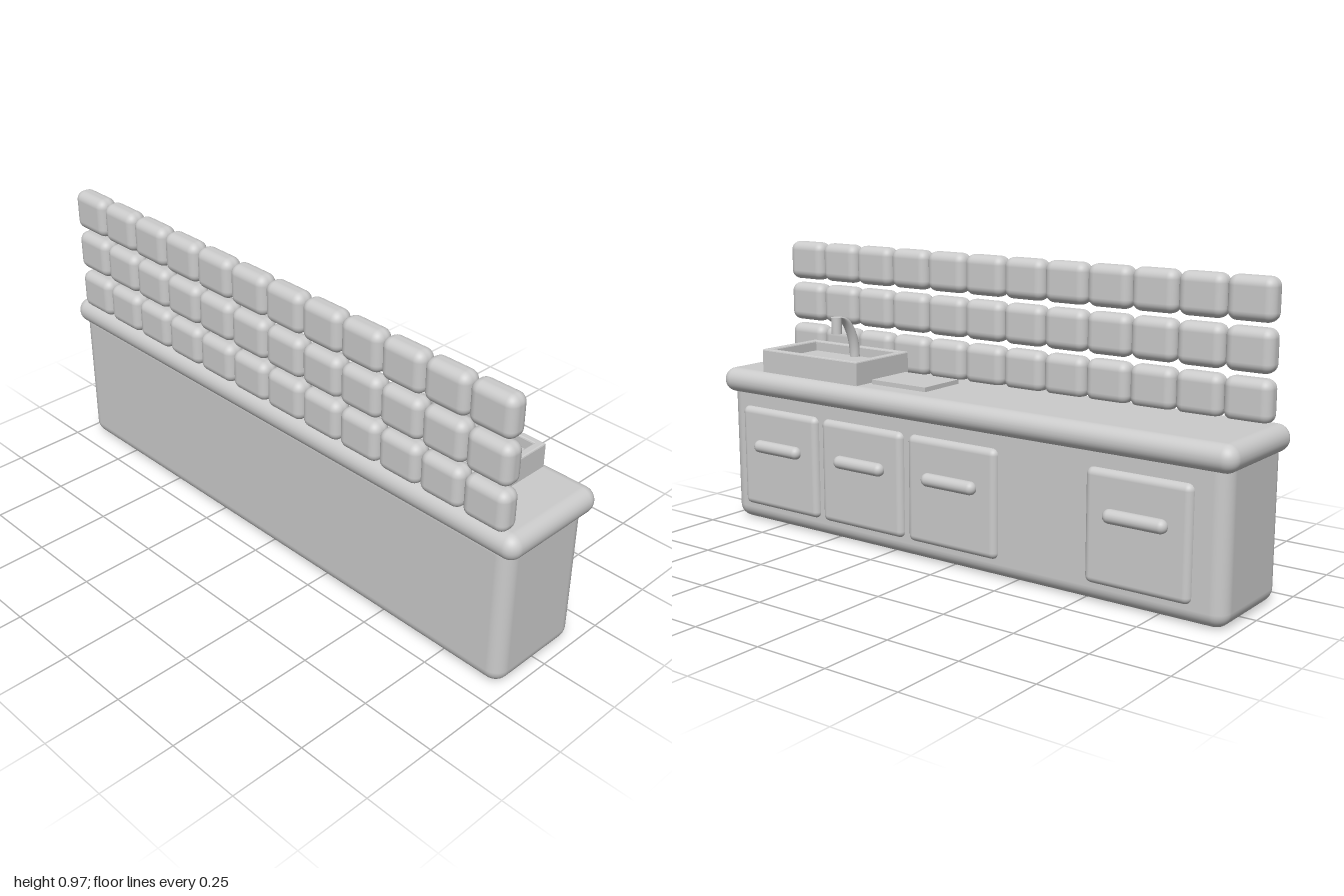
import * as THREE from 'three';
import { RoundedBoxGeometry } from 'three/addons/geometries/RoundedBoxGeometry.js';

const material = new THREE.MeshStandardMaterial({ color: 0xcccccc });

export function createModel() {
  const group = new THREE.Group();
  const add = (name, geometry, x = 0, y = 0, z = 0, parent = group) => {
    const mesh = new THREE.Mesh(geometry, material);
    mesh.name = name;
    mesh.position.set(x, y, z);
    parent.add(mesh);
    return mesh;
  };
  // rounded block given by its limits on each axis
  const block = (name, [x0, x1], [y0, y1], [z0, z1], r) =>
    add(name, new RoundedBoxGeometry(x1 - x0, y1 - y0, z1 - z0, 5, r),
      (x0 + x1) / 2, (y0 + y1) / 2, (z0 + z1) / 2);

  // cabinet body and worktop
  block('cabinet', [-0.19, 0.158], [0, 0.51], [-0.975, 0.975], 0.048);
  block('worktop', [-0.205, 0.185], [0.46, 0.545], [-1, 1], 0.042);

  // wall tiles: three rows of twelve
  const tiles = new THREE.Group();
  tiles.name = 'wallTiles';
  group.add(tiles);
  const tileGeo = new RoundedBoxGeometry(0.072, 0.134, 0.155, 4, 0.03);
  for (let row = 0; row < 3; row++)
    for (let i = 0; i < 12; i++)
      add('tile', tileGeo, -0.164, 0.605 + row * 0.149, 0.877 - i * 0.1591, tiles);

  // doors with bar handles
  const doorGeo = new RoundedBoxGeometry(0.05, 0.355, 0.352, 5, 0.022);
  const handleGeo = new THREE.CapsuleGeometry(0.022, 0.168, 8, 20).rotateX(Math.PI / 2);
  for (const z of [0.73, 0.355, -0.021, -0.696]) {
    const door = new THREE.Group();
    door.name = 'door';
    group.add(door);
    add('doorPanel', doorGeo, 0.152, 0.241, z, door);
    add('doorHandle', handleGeo, 0.182, 0.285, z, door);
  }

  // sink: bevelled rim around a recessed floor
  const rect = (Type, x0, x1, z0, z1) => new Type([
    [x0, -z0], [x0, -z1], [x1, -z1], [x1, -z0],
  ].map(([x, y]) => new THREE.Vector2(x, y)));
  const bevel = 0.005;
  const rim = rect(THREE.Shape, -0.113 + bevel, 0.15 - bevel, 0.386 + bevel, 0.82 - bevel);
  rim.holes.push(rect(THREE.Path, -0.09 - bevel, 0.127 + bevel, 0.412 - bevel, 0.794 + bevel));
  const rimGeo = new THREE.ExtrudeGeometry(rim, {
    depth: 0.095 - 2 * bevel, bevelEnabled: true, bevelSize: bevel, bevelThickness: bevel, bevelSegments: 2,
  }).rotateX(-Math.PI / 2);
  add('sinkRim', rimGeo, 0, 0.53 + bevel, 0);
  add('sinkFloor', new THREE.BoxGeometry(0.225, 0.05, 0.39), 0.0185, 0.565, 0.603);

  // draining board
  add('drainingBoard', new THREE.BoxGeometry(0.175, 0.03, 0.227), 0.006, 0.545, 0.256);

  // tap: level discs swept along a quarter ellipse, ending in a nozzle
  const sides = 20, steps = 20, radius = 0.018;
  const tapGeo = new THREE.CylinderGeometry(radius, radius, 1, sides, steps);
  const p = tapGeo.attributes.position;
  for (let i = 0; i < p.count; i++) {
    const a = (p.getY(i) + 0.5) * Math.PI / 2;
    p.setX(i, p.getX(i) + 0.01 - 0.093 * Math.cos(a));
    p.setY(i, 0.59 + 0.148 * Math.sin(a));
  }
  tapGeo.computeVertexNormals();
  add('tapNeck', tapGeo, 0, 0, 0.602);
  add('tapNozzle', new THREE.CylinderGeometry(radius, radius, 0.057, sides), 0.008, 0.7095, 0.602);

  return group;
}
